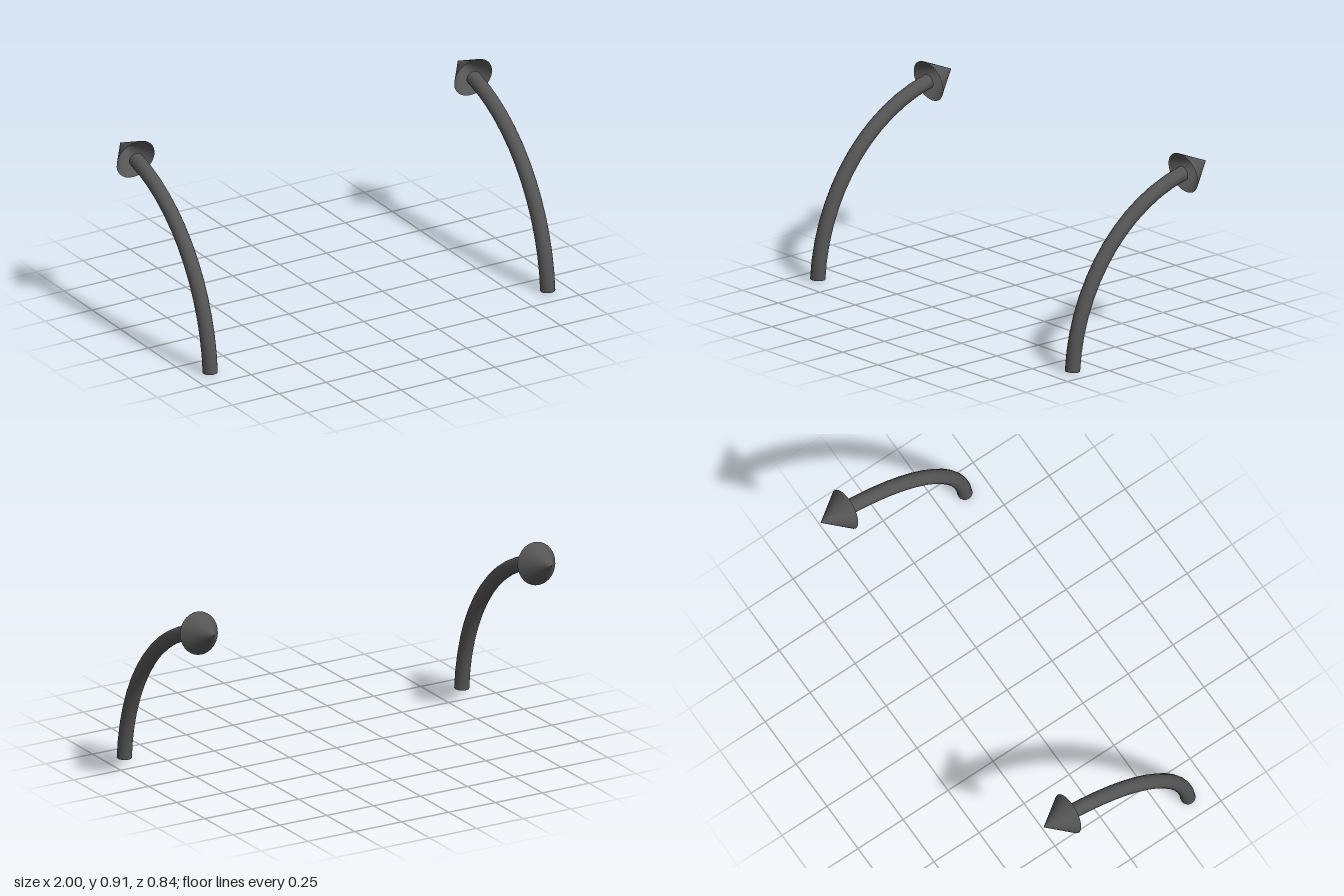
import * as THREE from 'three';

const SHAFT_RADIUS = 0.035;
const HEAD_RADIUS = 0.1;
const HEAD_LENGTH = 0.14;

function createArrow(material) {
  const arrow = new THREE.Group();

  // curved shaft rising from the ground and bending backwards
  const path = new THREE.CubicBezierCurve3(
    new THREE.Vector3(0, 0.003, 0.385),
    new THREE.Vector3(0, 0.393, 0.361),
    new THREE.Vector3(0, 0.731, 0.1),
    new THREE.Vector3(0, 0.817, -0.28)
  );
  const shaft = new THREE.Mesh(new THREE.TubeGeometry(path, 13, SHAFT_RADIUS, 16), material);
  shaft.name = 'shaft';
  arrow.add(shaft);

  // flat disc closing the foot of the shaft
  const foot = new THREE.Mesh(new THREE.CircleGeometry(SHAFT_RADIUS, 16), material);
  foot.name = 'shaftFoot';
  foot.position.copy(path.getPoint(0));
  foot.quaternion.setFromUnitVectors(new THREE.Vector3(0, 0, 1), path.getTangent(0).negate());
  arrow.add(foot);

  // hollow conical head, aligned with the end of the shaft
  const direction = path.getTangent(1);
  const head = new THREE.Mesh(new THREE.ConeGeometry(HEAD_RADIUS, HEAD_LENGTH, 32, 1, true), material);
  head.name = 'arrowHead';
  head.position.copy(path.getPoint(1)).addScaledVector(direction, HEAD_LENGTH / 2);
  head.quaternion.setFromUnitVectors(new THREE.Vector3(0, 1, 0), direction);
  arrow.add(head);

  return arrow;
}

export function createModel() {
  const model = new THREE.Group();
  model.name = 'curvedArrowPair';
  const material = new THREE.MeshStandardMaterial({ color: 0x555555, side: THREE.DoubleSide });

  // one arrow on each side
  for (const side of [1, -1]) {
    const arrow = createArrow(material);
    arrow.name = side > 0 ? 'leftArrow' : 'rightArrow';
    arrow.position.x = side * 0.9;
    model.add(arrow);
  }
  return model;
}
